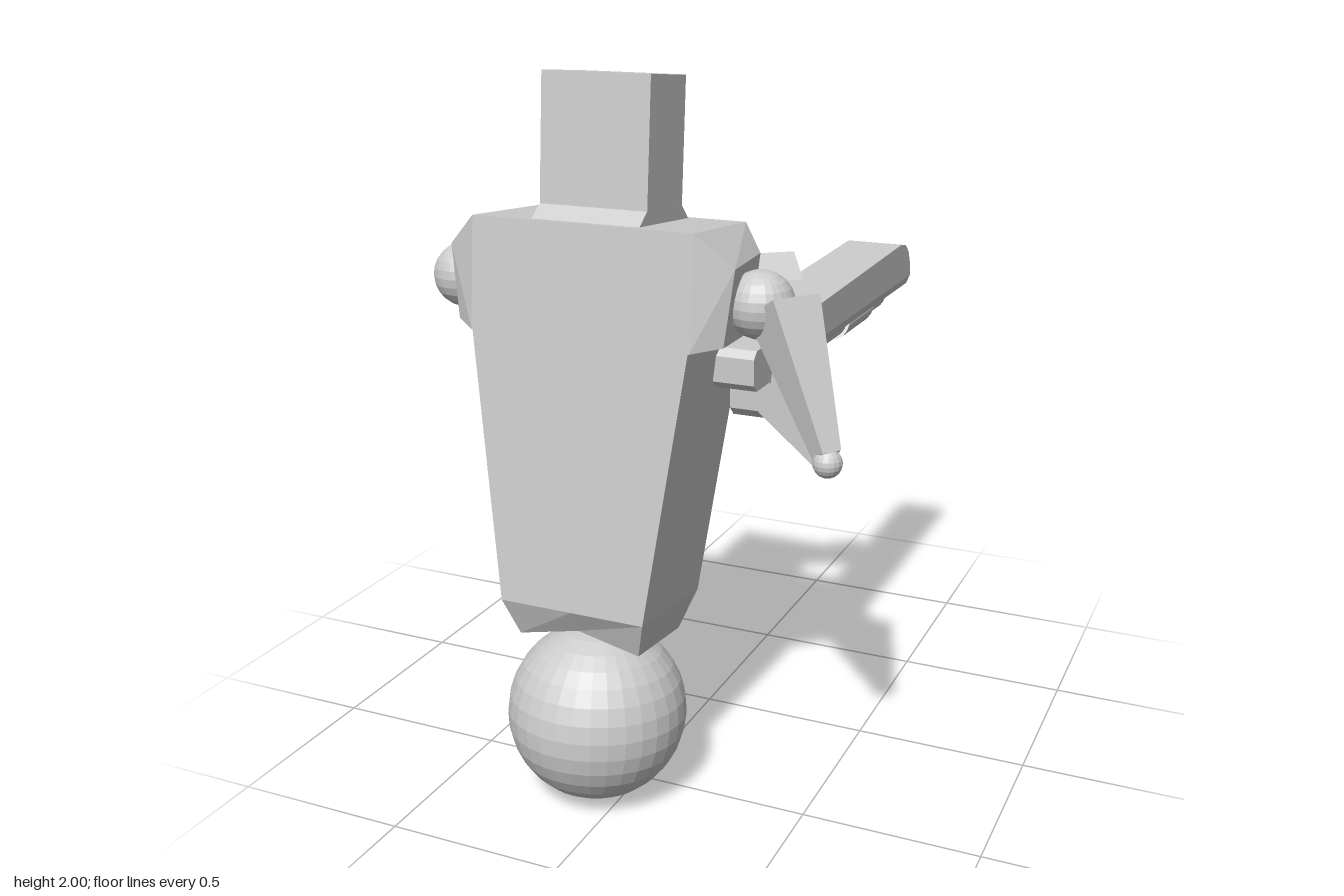
import * as THREE from 'three';
import { ConvexGeometry } from 'three/addons/geometries/ConvexGeometry.js';

const grey = new THREE.MeshStandardMaterial({ color: 0xcccccc });
grey.name = 'light grey';

const CX = -0.085; // centre line of the body
const GX = 0.275; // centre line of the blaster
const TILT = -0.09; // backward lean of the body

// Flat-faced mesh
function part(name, geometry, parent) {
  const flat = geometry.index ? geometry.toNonIndexed() : geometry;
  flat.computeVertexNormals();
  const mesh = new THREE.Mesh(flat, grey);
  mesh.name = name;
  parent.add(mesh);
  return mesh;
}

// Skin through equal-length rings of [x, y, z], closed at both ends
function loft(rings) {
  const n = rings[0].length;
  const pos = [];
  const tri = (a, b, c) => pos.push(...a, ...b, ...c);
  const centre = (ring) => [0, 1, 2].map((k) => ring.reduce((s, p) => s + p[k], 0) / n);
  const first = rings[0];
  const last = rings[rings.length - 1];
  for (let i = 0; i < n; i++) {
    const j = (i + 1) % n;
    for (let r = 0; r < rings.length - 1; r++) {
      const a = rings[r];
      const b = rings[r + 1];
      tri(a[i], a[j], b[j]);
      tri(a[i], b[j], b[i]);
    }
    tri(centre(first), first[j], first[i]);
    tri(centre(last), last[i], last[j]);
  }
  const g = new THREE.BufferGeometry();
  g.setAttribute('position', new THREE.Float32BufferAttribute(pos, 3));
  return g;
}

// Side profile of [z, y] points given a width across x
function sideProfile(outline, width, hole) {
  const points = (list) => list.map(([z, y]) => new THREE.Vector2(z, y));
  const shape = new THREE.Shape(points(outline));
  if (hole) shape.holes.push(new THREE.Path(points(hole)));
  const g = new THREE.ExtrudeGeometry(shape, { depth: width, bevelEnabled: false });
  return g.rotateY(-Math.PI / 2).translate(GX + width / 2, 0, 0);
}

function ball(name, x, y, z, r, w, h, parent) {
  const mesh = part(name, new THREE.SphereGeometry(r, w, h), parent);
  mesh.position.set(x, y, z);
  return mesh;
}

// Square tapered limb from a to b
function limb(name, a, b, sizeA, sizeB, roll, parent) {
  const from = new THREE.Vector3(...a);
  const to = new THREE.Vector3(...b);
  const g = new THREE.CylinderGeometry(sizeB * Math.SQRT1_2, sizeA * Math.SQRT1_2, from.distanceTo(to), 4);
  g.rotateY(Math.PI / 4 + roll).rotateX(Math.PI / 2);
  const mesh = part(name, g, parent);
  mesh.position.copy(from).lerp(to, 0.5);
  mesh.lookAt(to);
}

export function createModel() {
  const model = new THREE.Group();
  model.name = 'ball robot';

  // Rolling ball
  ball('rollingBall', CX, 0.25, 0.59, 0.25, 32, 16, model).rotation.x = TILT;

  // Tapered trunk with a notched lower rim
  const trunkRing = (frontZ, frontY, backZ, backY, half, lift) => [
    [CX - half, frontY, frontZ], [CX, frontY + lift, frontZ], [CX + half, frontY, frontZ],
    [CX + half + 0.007, backY, backZ], [CX, backY + lift, backZ], [CX - half - 0.007, backY, backZ],
  ];
  part('trunk', loft([
    trunkRing(0.69, 0.49, 0.45, 0.47, 0.18, 0.04),
    trunkRing(0.73, 0.6, 0.39, 0.57, 0.212, 0),
    trunkRing(0.655, 1.33, 0.312, 1.3, 0.312, 0),
  ]), model);

  // Faceted shoulder block
  const corners = [
    [0.315, 1.33, 0.655], [0.315, 1.3, 0.308], [0.315, 1.63, 0.625], [0.315, 1.6, 0.285],
    [0.41, 1.54, 0.585], [0.375, 1.53, 0.33], [0.385, 1.34, 0.6], [0.355, 1.32, 0.35],
  ];
  part('shoulderBlock', new ConvexGeometry([-1, 1].flatMap(
    (s) => corners.map(([x, y, z]) => new THREE.Vector3(CX + s * x, y, z)),
  )), model);

  // Sloped collar under the head
  const collarRing = (frontZ, frontY, backZ, backY) => [
    [CX - 0.155, frontY, frontZ], [CX + 0.155, frontY, frontZ],
    [CX + 0.155, backY, backZ], [CX - 0.155, backY, backZ],
  ];
  part('collar', loft([
    collarRing(0.6, 1.625, 0.3, 1.598),
    collarRing(0.553, 1.66, 0.34, 1.64),
  ]), model);

  // Head, with two eye slots cut in the plate on its -z side
  const head = new THREE.Group();
  head.name = 'head';
  head.position.set(CX, 1.65, 0.447);
  head.rotation.x = TILT;
  model.add(head);
  part('skull', new THREE.BoxGeometry(0.31, 0.34, 0.18).translate(0, 0.17, 0.015), head);
  const rectangle = (x0, x1, y0, y1) =>
    [[x0, y0], [x1, y0], [x1, y1], [x0, y1]].map((p) => new THREE.Vector2(...p));
  const face = new THREE.Shape(rectangle(-0.155, 0.155, 0, 0.34));
  face.holes.push(new THREE.Path(rectangle(-0.14, -0.012, 0.175, 0.215)));
  face.holes.push(new THREE.Path(rectangle(0.012, 0.14, 0.175, 0.215)));
  part('facePlate', new THREE.ExtrudeGeometry(face, { depth: 0.03, bevelEnabled: false })
    .translate(0, 0, -0.105), head);

  // Arm on the +x side, bent down to the grip
  ball('leftShoulder', 0.35, 1.43, 0.475, 0.09, 24, 12, model);
  limb('leftUpperArm', [0.415, 1.435, 0.485], [0.58, 1.1, 0.605], 0.14, 0.055, 0, model);
  ball('leftElbow', 0.585, 1.08, 0.61, 0.038, 16, 10, model);
  limb('leftForearm', [0.575, 1.085, 0.59], [0.325, 1.15, 0.27], 0.055, 0.13, 0.3, model);

  // Arm on the -x side, reaching across to the barrel
  ball('rightShoulder', -0.525, 1.43, 0.47, 0.09, 24, 12, model);
  limb('rightUpperArm', [-0.535, 1.435, 0.41], [-0.29, 1.365, 0.125], 0.14, 0.055, 0.2, model);
  ball('rightElbow', -0.27, 1.36, 0.1, 0.038, 16, 10, model);
  limb('rightForearm', [-0.24, 1.355, 0.08], [0.17, 1.3, -0.24], 0.08, 0.16, 0.5, model);

  // Blaster
  const blaster = new THREE.Group();
  blaster.name = 'blaster';
  model.add(blaster);

  // Body with rounded lower edges and a curved nose
  const bodyRing = ([z, top]) => [
    [0.05, 1.2], [-0.05, 1.2], [-0.078, 1.212], [-0.09, 1.24],
    [-0.09, top], [0.09, top], [0.09, 1.24], [0.078, 1.212],
  ].map(([x, y]) => [GX + x, y, z]);
  part('blasterBody', loft([
    [0.245, 1.335], [-0.71, 1.362], [-0.76, 1.352], [-0.795, 1.325], [-0.815, 1.285], [-0.82, 1.26],
  ].map(bodyRing)), blaster);
  const muzzle = part('muzzle', new THREE.CylinderGeometry(0.014, 0.014, 0.04, 12)
    .rotateX(Math.PI / 2), blaster);
  muzzle.position.set(GX, 1.225, -0.82);

  // Stock and hollow grip
  part('stock', sideProfile([
    [0.2, 1.19], [0.455, 1.19], [0.475, 1.21], [0.475, 1.28], [0.455, 1.3], [0.2, 1.3],
  ], 0.115), blaster);
  part('grip', sideProfile([
    [0.36, 1.2], [0.36, 1.105], [0.335, 1.08], [0.15, 1.08], [0.05, 1.25], [0.25, 1.25],
  ], 0.115, [[0.22, 1.19], [0.23, 1.11], [0.165, 1.11], [0.115, 1.19]]), blaster);

  // Slant-ended tubes under the barrel
  for (const [name, z0, z1, r, y] of [
    ['lowerTube', -0.065, -0.735, 0.033, 1.178],
    ['lowerSleeve', -0.34, -0.58, 0.043, 1.178],
  ]) {
    const g = new THREE.CylinderGeometry(r, r, z0 - z1, 16).rotateX(Math.PI / 2);
    const p = g.attributes.position;
    for (let i = 0; i < p.count; i++) p.setZ(i, p.getZ(i) - p.getY(i) * 0.8);
    part(name, g, blaster).position.set(GX, y, (z0 + z1) / 2);
  }

  return model;
}
